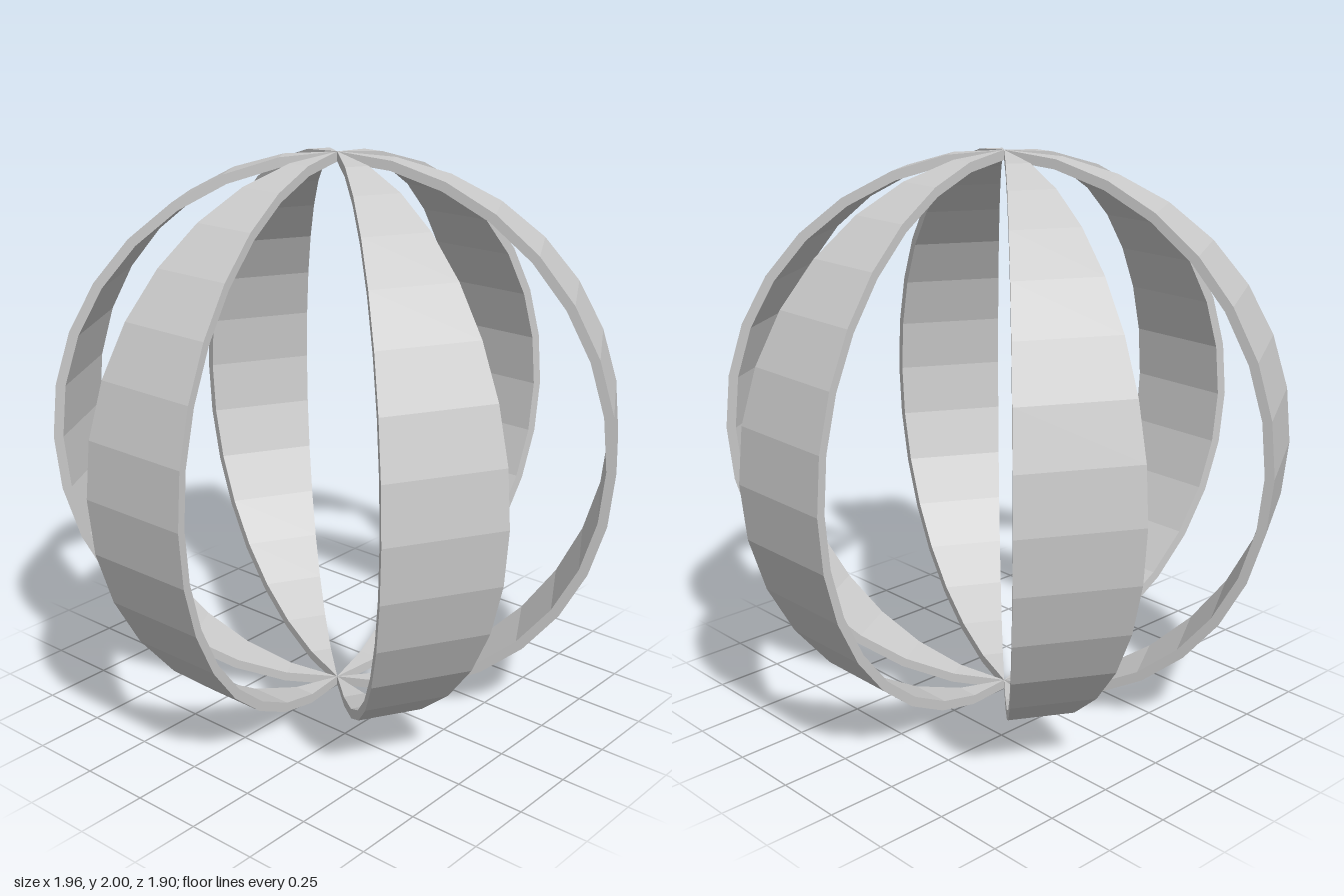
import * as THREE from 'three';

const BANDS = 6, STEPS = 16, HALF_ANGLE = THREE.MathUtils.degToRad(12);
const OUTER = 1, INNER = 0.966;

// One tapering meridian band facing +x: a four-cornered section swept from pole to pole
function bandGeometry() {
  const section = [[OUTER, 1], [OUTER, -1], [INNER, -1], [INNER, 1]];
  const corner = (i, k) => {
    const [r, side] = section[k % 4];
    const polar = Math.PI * i / STEPS;
    const ring = r * Math.sin(polar);
    return new THREE.Vector3(
      ring * Math.cos(HALF_ANGLE), r * Math.cos(polar), side * ring * Math.sin(HALF_ANGLE));
  };
  const points = [];
  const addTriangle = (a, b, c) => {
    // the faces shrink to triangles at the poles
    if (new THREE.Triangle(a, b, c).getArea() > 1e-8) points.push(a, b, c);
  };
  for (let i = 0; i < STEPS; i++) {
    for (let k = 0; k < 4; k++) {
      const a = corner(i, k), b = corner(i + 1, k);
      const c = corner(i + 1, k + 1), d = corner(i, k + 1);
      addTriangle(a, b, c);
      addTriangle(a, c, d);
    }
  }
  const geometry = new THREE.BufferGeometry().setFromPoints(points);
  geometry.computeVertexNormals();
  return geometry;
}

export function createModel() {
  const model = new THREE.Group();
  model.name = 'bandedSphere';
  const material = new THREE.MeshStandardMaterial({ color: 0xcccccc, flatShading: true });
  const geometry = bandGeometry();

  // Six equal bands around the vertical axis, meeting at both poles
  for (let n = 0; n < BANDS; n++) {
    const band = new THREE.Mesh(geometry, material);
    band.name = `meridianBand${n + 1}`;
    band.position.y = OUTER;
    band.rotation.y = n * 2 * Math.PI / BANDS;
    model.add(band);
  }
  return model;
}
